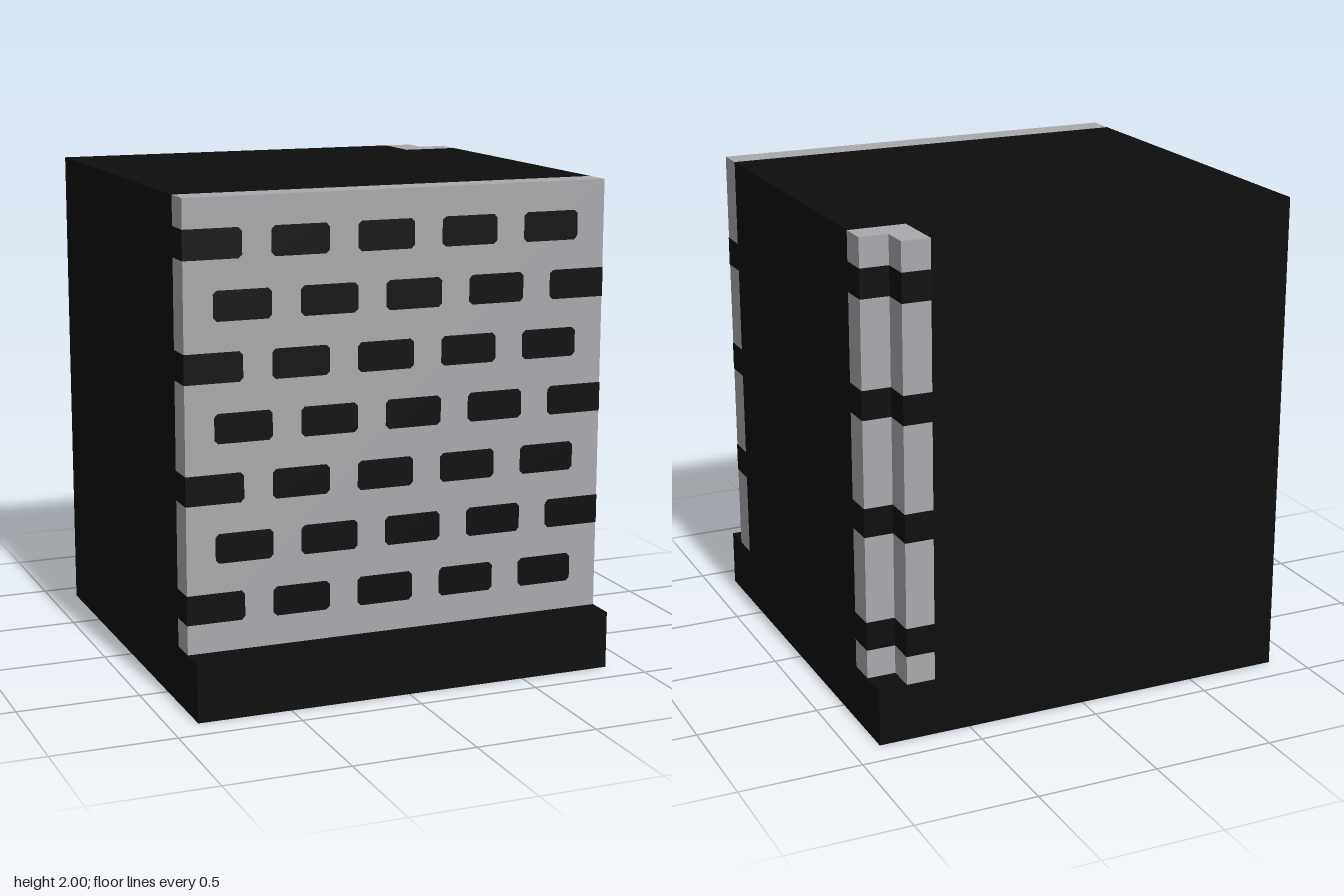
import * as THREE from 'three';

// One brick module: the block is 17 modules tall and 15 wide.
const U = 2 / 17, HALF = 7.5, BASE = 2, TOP = 17, CHAMFER = 0.12, PROUD = 0.01;

export function createModel() {
  const model = new THREE.Group();
  const block = new THREE.Group();
  block.name = 'brickBlock';
  block.scale.setScalar(U);
  model.add(block);

  const black = new THREE.MeshStandardMaterial({ color: 0x0d0d0d });
  black.name = 'black brick';
  const grey = new THREE.MeshStandardMaterial({ color: 0xaaaaae });
  grey.name = 'grey mortar';

  const add = (name, geometry, material) => {
    const mesh = new THREE.Mesh(geometry, material);
    mesh.name = name;
    block.add(mesh);
    return mesh;
  };
  const box = (name, material, x0, x1, y0, y1, z0, z1) =>
    add(name, new THREE.BoxGeometry(x1 - x0, y1 - y0, z1 - z0), material)
      .position.set((x0 + x1) / 2, (y0 + y1) / 2, (z0 + z1) / 2);

  const polygon = (points) => new THREE.Shape(points.map(([x, y]) => new THREE.Vector2(x, y)));
  // Stands a floor plan of [x, z] points upright between two heights.
  const column = (name, material, plan, y0, y1) => {
    const shape = polygon(plan.map(([x, z]) => [x, -z]));
    const geometry = new THREE.ExtrudeGeometry(shape, { depth: y1 - y0, bevelEnabled: false });
    geometry.rotateX(-Math.PI / 2).translate(0, y0, 0);
    add(name, geometry, material);
  };

  // Plinth and main body, with one back corner left open for the pillar
  box('base', black, -HALF, HALF, 0, BASE, -HALF, HALF);
  column('body', black, [
    [-HALF, 5.5], [HALF, 5.5], [HALF, -5.5], [5.5, -5.5], [5.5, -HALF], [-HALF, -HALF],
  ], BASE, TOP);

  // Front mortar wall
  box('mortarWall', grey, -HALF, HALF, BASE, TOP, 5.5, 6.5);

  // Bricks in staggered rows; the end ones run through to the wall's side
  for (let row = 0; row < 7; row++) {
    const y0 = 3 + row * 2, y1 = y0 + 1, odd = row % 2;
    for (let i = 0; i < 5; i++) {
      const atLeft = !odd && i === 0, atRight = odd && i === 4;
      const x0 = -HALF + odd + i * 3 - (atLeft ? PROUD : 0);
      const x1 = -HALF + odd + i * 3 + 2 + (atRight ? PROUD : 0);
      const a = atLeft ? 0 : CHAMFER, b = atRight ? 0 : CHAMFER;
      const outline = [];
      if (a) outline.push([x0, y1 - a], [x0, y0 + a], [x0 + a, y0]);
      else outline.push([x0, y1], [x0, y0]);
      if (b) outline.push([x1 - b, y0], [x1, y0 + b], [x1, y1 - b], [x1 - b, y1]);
      else outline.push([x1, y0], [x1, y1]);
      if (a) outline.push([x0 + a, y1]);
      const geometry = new THREE.ExtrudeGeometry(polygon(outline), { depth: 1 + PROUD, bevelEnabled: false });
      add('frontBrick', geometry.translate(0, 0, 5.5), black);
    }
  }

  // Notched corner pillar: mortar lengths alternating with brick bands
  const plan = [
    [5.5, -5.5], [HALF, -5.5], [HALF, -6.5], [6.5, -6.5], [6.5, -HALF], [5.5, -HALF],
  ];
  const levels = [BASE, 3, 4, 7, 8, 11, 12, 15, 16, TOP];
  for (let i = 0; i < levels.length - 1; i++) {
    const isBand = i % 2 === 1;
    column(isBand ? 'cornerBrick' : 'cornerMortar', isBand ? black : grey, plan, levels[i], levels[i + 1]);
  }

  return model;
}
